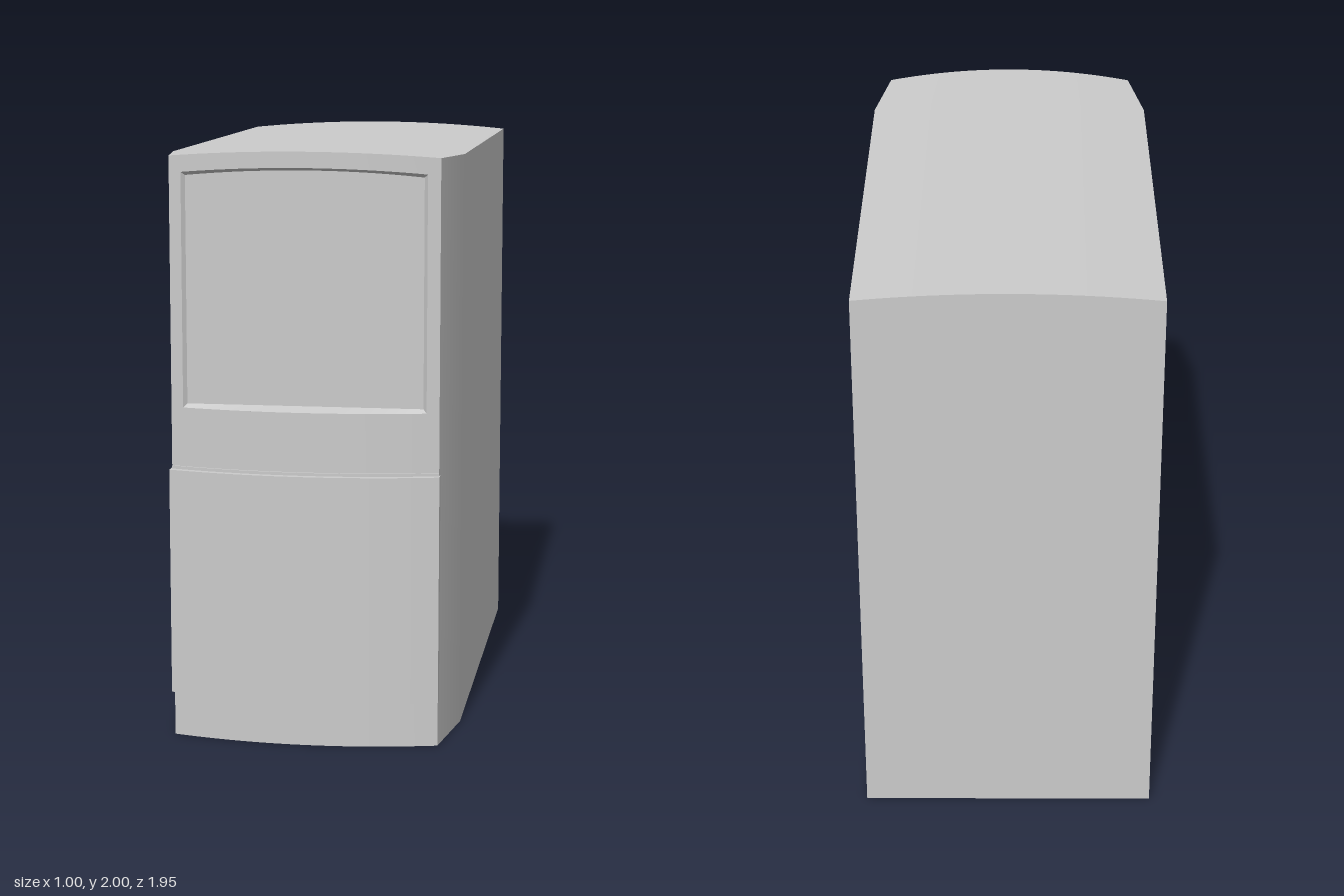
import * as THREE from 'three';
import { ParametricGeometry } from 'three/addons/geometries/ParametricGeometry.js';

const BACK = -0.975, TAPER = 0.6;      // rear face, start of the side taper
const W = 0.5, FW = 0.452;             // half widths: body and front
const PW = 0.41, LEDGE = 1.14;         // recess half width and lower edge
const roofY = x => 2 - 0.1 * x * x;            // arched roof
const bow = x => 0.947 - 0.29 * x * x;         // bowed front
const recessTop = x => 1.947 - 0.12 * x * x;   // arched top of the recess
const lerp = THREE.MathUtils.lerp;

export function createModel() {
  const group = new THREE.Group();
  const material = new THREE.MeshStandardMaterial({ color: 0xcccccc, side: THREE.DoubleSide });

  function add(name, geometry) {
    const mesh = new THREE.Mesh(geometry, material);
    mesh.name = name;
    group.add(mesh);
    return mesh;
  }

  // Surface from a rule (u, v) -> [x, y, z]
  function surface(name, nu, nv, rule) {
    const g = new ParametricGeometry((u, v, p) => p.set(...rule(u, v)), nu, nv);
    g.computeVertexNormals();
    return add(name, g);
  }

  // Strip that follows the bowed front between two height curves
  function frontStrip(name, x0, x1, low, high, n = 20) {
    surface(name, n, 1, (u, v) => {
      const x = lerp(x0, x1, u);
      return [x, lerp(low(x), high(x), v), bow(x)];
    });
  }

  // Surface ruled between two edge curves
  function ruled(name, n, a, b) {
    surface(name, n, 1, (u, v) => a(u).map((c, i) => lerp(c, b(u)[i], v)));
  }

  // Cabinet shell, open underneath
  for (const s of [-1, 1]) {
    surface(s > 0 ? 'leftSide' : 'rightSide', 2, 1, (u, v) => {
      const x = s * (u > 0.75 ? FW : W);
      const z = u < 0.25 ? BACK : u < 0.75 ? TAPER : bow(FW);
      return [x, v * roofY(x), z];
    });
  }
  surface('backPanel', 20, 1, (u, v) => {
    const x = lerp(-W, W, u);
    return [x, v * roofY(x), BACK];
  });
  surface('roof', 20, 2, (u, v) => {
    const x = lerp(-1, 1, u) * (v > 0.75 ? FW : W);
    return [x, roofY(x), v < 0.25 ? BACK : v < 0.75 ? TAPER : bow(x)];
  });

  // Bowed front around the recess
  frontStrip('lowerFront', -FW, FW, () => 0, () => LEDGE);
  frontStrip('topRail', -PW, PW, recessTop, roofY);
  for (const s of [-1, 1]) {
    frontStrip(s > 0 ? 'leftPost' : 'rightPost', s * PW, s * FW, () => LEDGE, roofY, 2);
  }

  // Flat recessed panel with sloping reveals
  const depth = 0.885, inset = 0.012, IW = PW - inset;
  const xAt = (u, w) => lerp(-w, w, u);
  const innerTop = u => [xAt(u, IW), recessTop(xAt(u, IW)) - inset, depth];
  const innerLow = u => [xAt(u, IW), LEDGE + inset, depth];
  ruled('recessedPanel', 20, innerLow, innerTop);
  ruled('topReveal', 20, innerTop, u => {
    const x = xAt(u, PW);
    return [x, recessTop(x), bow(x)];
  });
  ruled('lowerLedge', 20, innerLow, u => {
    const x = xAt(u, PW);
    return [x, LEDGE, bow(x)];
  });
  for (const s of [-1, 1]) {
    ruled(s > 0 ? 'leftReveal' : 'rightReveal', 1,
      u => [s * IW, lerp(LEDGE + inset, recessTop(IW) - inset, u), depth],
      u => [s * PW, lerp(LEDGE, recessTop(PW), u), bow(PW)]);
  }

  // Raised lower door, curved with the front
  const N = 20, pts = [];
  for (let i = 0; i <= N; i++) {
    const x = xAt(i / N, 0.456);
    pts.push(new THREE.Vector2(x, -bow(x) - 0.03));
  }
  for (let i = N; i >= 0; i--) {
    const x = xAt(i / N, 0.456);
    pts.push(new THREE.Vector2(x, -bow(x) + 0.004));
  }
  const door = new THREE.ExtrudeGeometry(new THREE.Shape(pts), { depth: 0.772, bevelEnabled: false });
  door.rotateX(-Math.PI / 2);
  add('lowerDoor', door).position.y = 0.158;

  // Thin lip above the door
  const lip = new THREE.ExtrudeGeometry(
    new THREE.Shape(pts.map(p => new THREE.Vector2(p.x * 0.99, p.y + 0.022))),
    { depth: 0.01, bevelEnabled: false });
  lip.rotateX(-Math.PI / 2);
  add('doorLip', lip).position.y = 0.93;

  return group;
}
